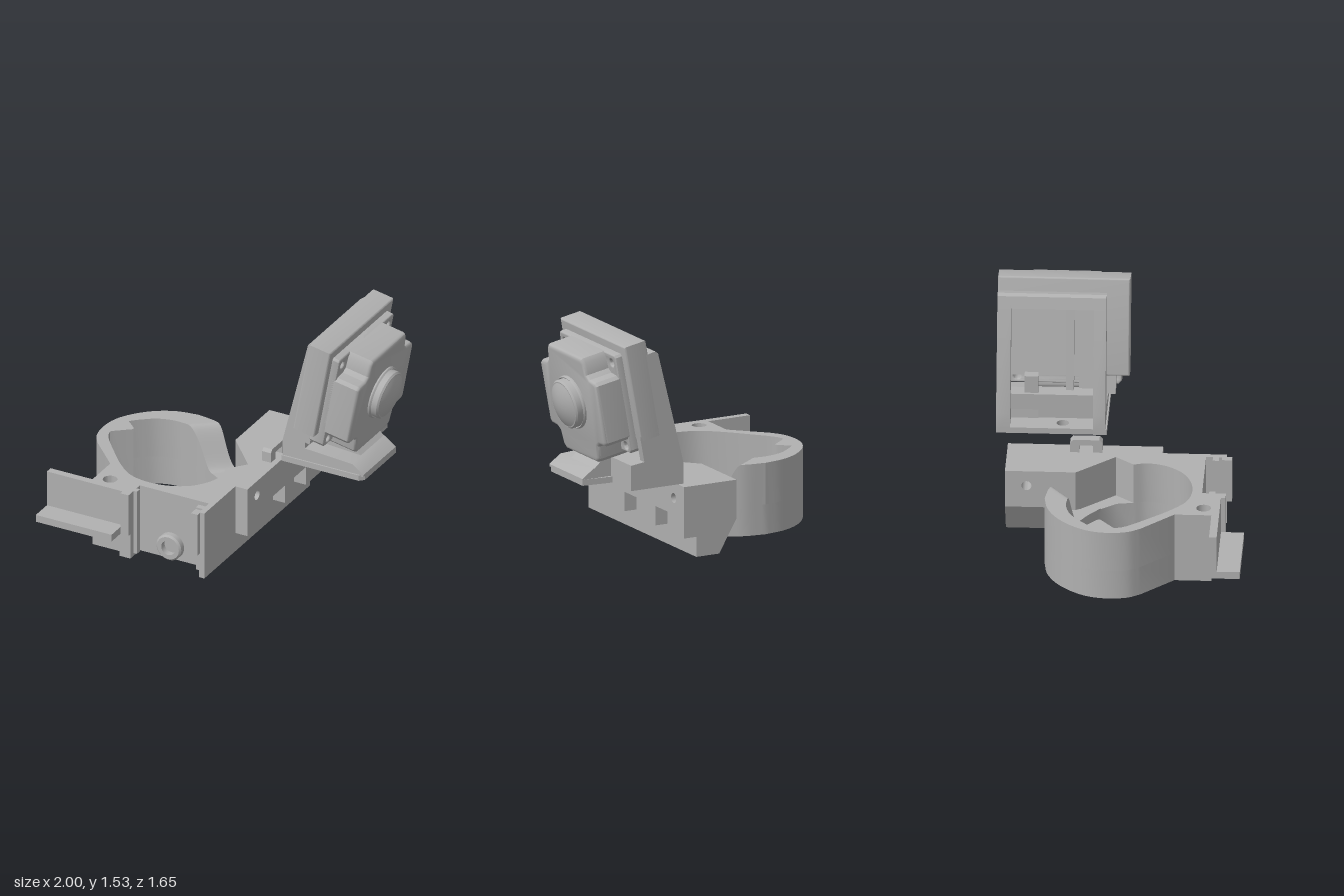
import * as THREE from 'three';
import { toCreasedNormals } from 'three/addons/utils/BufferGeometryUtils.js';

const grey = new THREE.MeshStandardMaterial({ color: 0xb0b0b0 });
grey.name = 'grey plastic';

function add(parent, name, geo) {
  const m = new THREE.Mesh(toCreasedNormals(geo, 0.6), grey);
  m.name = name;
  parent.add(m);
}

// Box given by its limits
function box(parent, name, x0, x1, y0, y1, z0, z1) {
  const g = new THREE.BoxGeometry(x1 - x0, y1 - y0, z1 - z0);
  add(parent, name, g.translate((x0 + x1) / 2, (y0 + y1) / 2, (z0 + z1) / 2));
}

// Outline of a round hole
function circle(a, b, r) {
  return Array.from({ length: 28 }, (_, i) => [a + r * Math.cos(i * Math.PI / 14), b + r * Math.sin(i * Math.PI / 14)]);
}

// Prism along an axis: 'x' takes [z,y], 'y' takes [x,z], 'z' takes [x,y]; holes are outlines too
function prism(axis, pts, from, to, holes = [], bevel = 0) {
  const map = { x: ([z, y]) => [-z, y], y: ([x, z]) => [x, -z], z: (p) => p }[axis];
  const outline = (list, clockwise) => {
    const v = list.map((p) => new THREE.Vector2(...map(p)));
    return THREE.ShapeUtils.isClockWise(v) === clockwise ? v : v.reverse();
  };
  const shape = new THREE.Shape(outline(pts, false));
  shape.holes = holes.map((h) => new THREE.Path(outline(h, true)));
  const g = new THREE.ExtrudeGeometry(shape, {
    depth: to - from - bevel * 2, bevelEnabled: bevel > 0,
    bevelSize: bevel, bevelThickness: bevel, bevelOffset: -bevel, bevelSegments: 4,
  });
  g.translate(0, 0, from + bevel);
  if (axis === 'x') g.rotateY(Math.PI / 2);
  if (axis === 'y') g.rotateX(-Math.PI / 2);
  return g;
}

// Smooth plan curve through a few guide points
const curve = (pts) => new THREE.CatmullRomCurve3(pts.map(([x, z]) => new THREE.Vector3(x, 0, z)));
const smooth = (pts, n) => curve(pts).getPoints(n).map((p) => [p.x, p.z]);

// Solid of revolution about the x axis; profile is [radius, x]
function lathe(profile, y, z) {
  const g = new THREE.LatheGeometry(profile.map((p) => new THREE.Vector2(...p)), 48);
  return g.rotateZ(-Math.PI / 2).translate(0, y, z);
}

function makeBracket() {
  const g = new THREE.Group();
  g.name = 'ringBracket';
  const low = 0.2, top = 0.48;

  // Plan curves of the ring
  const outerLeft = [[-0.69, 0.62], [-0.69, 0.38], ...smooth([[-0.9, 0.17], [-0.95, 0.09], [-0.97, -0.03],
    [-0.95, -0.16], [-0.88, -0.28], [-0.77, -0.385], [-0.64, -0.45], [-0.5, -0.473]], 28)];
  const outerGuide = [[-0.5, -0.473], [-0.36, -0.45], [-0.22, -0.385], [-0.13, -0.37]];
  const innerGuide = [[-0.5, -0.325], [-0.38, -0.3], [-0.22, -0.22], [-0.1, -0.13]];
  const outerBack = smooth(outerGuide, 16);
  const innerBack = [...smooth(innerGuide, 14), [-0.02, -0.03], [0, 0.08]];
  const innerFront = smooth([[0, 0.08], [0.02, 0.16], [0, 0.27], [-0.08, 0.385], [-0.2, 0.455], [-0.35, 0.48],
    [-0.5, 0.45], [-0.62, 0.36], [-0.75, 0.22], [-0.88, 0.06], [-0.9, 0]], 36);
  const innerLeft = [[-0.88, -0.02], [-0.78, -0.1], [-0.79, -0.12], [-0.86, -0.18],
    ...smooth([[-0.82, -0.22], [-0.72, -0.295], [-0.6, -0.33], [-0.5, -0.325]], 10)];
  const front = [[0.17, -0.37], [0.17, 0.68], [0.13, 0.68], [0.13, 0.545], [-0.38, 0.545], [-0.38, 0.62]];

  // Lower ring: closed outline with the opening cut out
  add(g, 'lowerRing', prism('y', [...outerLeft, ...outerBack.slice(1), ...front], 0, low,
    [[...innerBack.slice(0, -1), ...innerFront, ...innerLeft.slice(0, -1)]]));

  // Upper ring, open at the back where the edge dips
  const upper = [...outerLeft, ...[...innerLeft].reverse(), ...[...innerFront].reverse(),
    [0.1, -0.04], [-0.13, -0.29], [-0.13, -0.37], ...front];
  add(g, 'upperRing', prism('y', upper, low, top, [circle(-0.59, 0.565, 0.048)]));

  // Ramp down from the ring to the low edge, swept between the two back curves
  const ramp = new THREE.BoxGeometry(1, 1, 1, 28, 1, 8);
  const p = ramp.attributes.position;
  const outer = curve(outerGuide), inner = curve(innerGuide);
  for (let i = 0; i < p.count; i++) {
    const u = p.getX(i) + 0.5;
    const q = outer.getPoint(u).lerp(inner.getPoint(u), p.getZ(i) + 0.5);
    const drop = THREE.MathUtils.smoothstep(0.11 * q.x + 0.15 * q.z, -0.104, -0.072);
    p.setXYZ(i, q.x, p.getY(i) > 0 ? top - drop * (top - low - 0.005) : low - 0.02, q.z);
  }
  add(g, 'ringRamp', ramp);

  // Rear block with its lower corner cut off and a screw hole across it
  const rearHole = circle(-0.61, 0.375, 0.033);
  add(g, 'rearBlockBase', prism('z', [[0.17, 0], [0, 0], [-0.13, 0.22], [0.17, 0.22]], -0.75, -0.37));
  add(g, 'rearBlock', prism('x', [[-0.75, 0.22], [-0.37, 0.22], [-0.37, top], [-0.75, top]], -0.13, 0.17, [rearHole]));

  // Side plate with notched lower edge and two screw holes
  add(g, 'sidePlate', prism('x', [[0.26, top], [0.26, 0.135], [0.04, 0.135], [0.04, 0.265], [-0.25, 0.265],
    [-0.25, 0.135], [-0.37, 0.135], [-0.37, 0.265], [-0.53, 0.265], [-0.53, 0.135], [-0.75, 0.135], [-0.75, top]],
  0.17, 0.26, [circle(0.13, 0.375, 0.033), rearHole]));

  // Loop on top of the block
  add(g, 'cableLoop', prism('x', [[-0.13, top], [-0.13, 0.55], [-0.15, 0.57], [-0.32, 0.57], [-0.34, 0.55], [-0.34, top],
    [-0.28, top], [-0.28, 0.53], [-0.19, 0.53], [-0.19, top]], 0.155, 0.22));

  // Front flange with shelf, rails and boss
  add(g, 'frontFlange', prism('x', [[0.62, 0.18], [0.82, 0.18], [0.82, 0.23], [0.67, 0.23], [0.67, top], [0.62, top]], -1, -0.44));
  box(g, 'leftRail', -0.44, -0.38, 0.18, top, 0.58, 0.7);
  box(g, 'leftRailFoot', -0.46, -0.38, 0, 0.18, 0.58, 0.675);
  box(g, 'leftRailLip', -0.38, -0.355, 0.02, top, 0.59, 0.63);
  box(g, 'rightRail', 0.09, 0.14, 0.18, top, 0.65, 0.715);
  box(g, 'rightRailLip', 0.08, 0.13, 0.02, top, 0.59, 0.63);
  const boss = new THREE.LatheGeometry([[0.092, -0.03], [0.092, 0.038], [0.08, 0.05], [0.05, 0.05], [0.05, 0.005], [0, 0.005]]
    .map((q) => new THREE.Vector2(...q)), 36);
  add(g, 'frontBoss', boss.rotateX(Math.PI / 2).translate(-0.145, 0.1, 0.545));
  return g;
}

function makeMount() {
  const g = new THREE.Group();
  g.name = 'cameraMount';

  // Sloping side walls and the recessed back
  const wall = [[0.31, 0.53], [0.31, 0.67], [0.5, 1.43], [0.52, 1.445], [0.59, 1.43], [0.49, 0.88], [0.47, 0.53]];
  add(g, 'outerWall', prism('z', wall, -0.83, -0.74));
  add(g, 'innerWall', prism('z', wall, -0.2, -0.12));
  add(g, 'topBar', prism('z', [[0.48, 1.35], [0.5, 1.43], [0.52, 1.445], [0.59, 1.43], [0.57, 1.35]], -0.74, -0.2));
  add(g, 'backRib', prism('z', [[0.41, 0.8], [0.5, 1.36], [0.58, 1.36], [0.48, 0.8]], -0.38, -0.33));
  add(g, 'backPanel', prism('z', [[0.46, 0.88], [0.55, 1.36], [0.59, 1.36], [0.5, 0.88]], -0.74, -0.2));
  box(g, 'lowerBar', 0.38, 0.48, 0.67, 0.78, -0.74, -0.2);
  box(g, 'clip', 0.4, 0.47, 0.78, 0.9, -0.65, -0.56);

  // Foot: flat base, sloping tongue in front and a taller block along the outer side
  add(g, 'foot', prism('y', [[0.31, -0.11], [0.88, -0.11], [0.91, -0.14], [0.91, -0.56], [0.7, -0.58], [0.7, -0.83], [0.31, -0.83]],
    0.53, 0.57, [circle(0.39, -0.4, 0.04)]));
  add(g, 'footTongue', prism('z', [[0.46, 0.56], [0.91, 0.56], [0.91, 0.575], [0.83, 0.635], [0.46, 0.66]], -0.56, -0.12));
  add(g, 'footRidge', prism('z', [[0.46, 0.6], [0.86, 0.6], [0.76, 0.69], [0.46, 0.72]], -0.56, -0.25));
  add(g, 'footBlock', prism('z', [[0.45, 0.55], [0.7, 0.55], [0.7, 0.7], [0.46, 0.73]], -0.83, -0.56));

  // Everything tilted: frame, camera body and lens
  const head = new THREE.Group();
  head.name = 'cameraHead';
  head.position.set(0.47, 0.88, 0);
  head.rotation.z = THREE.MathUtils.degToRad(-10.5);
  g.add(head);
  add(head, 'frame', prism('x', [[0.03, 0], [0.03, 0.66], [-0.83, 0.66], [-0.83, 0]], 0, 0.16, [], 0.012));
  box(head, 'frameSide', 0, 0.16, -0.2, 0.03, -0.83, -0.775);
  box(head, 'frameClip', 0.03, 0.1, -0.13, 0.01, -0.3, -0.06);

  const zc = -0.395, yc = 0.25;
  const mirror = (half) => [...half.map(([z, y]) => [zc + z, y]), ...half.map(([z, y]) => [zc - z, y]).reverse()];
  // Housing base with corner screw holes
  add(head, 'housingBase', prism('x', mirror([[0.36, 0.6], [0.372, 0.585], [0.372, -0.06], [0.35, -0.085]]), 0.1, 0.21,
    [0.31, -0.31].flatMap((z) => [circle(zc + z, 0.54, 0.025), circle(zc + z, -0.04, 0.025)]), 0.01));
  // Raised housing with notched corners
  add(head, 'housingFront', prism('x', mirror([[0.22, 0.6], [0.24, 0.57], [0.25, 0.49], [0.28, 0.465], [0.35, 0.46],
    [0.372, 0.44], [0.372, 0.04], [0.35, 0.015], [0.28, 0.01], [0.25, -0.01], [0.235, -0.1], [0.2, -0.13]]),
  0.14, 0.385, [], 0.025));
  // Lens barrel and dome
  add(head, 'lensBarrel', lathe([[0.18, 0.36], [0.18, 0.395], [0.172, 0.405], [0.165, 0.4], [0.165, 0.44], [0.155, 0.452], [0, 0.452]], yc, zc));
  const dome = [];
  for (let i = 0; i <= 10; i++) dome.push([0.152 * (1 - i / 10), 0.45 + 0.04 * (1 - (1 - i / 10) ** 2)]);
  add(head, 'lens', lathe(dome, yc, zc));
  return g;
}

export function createModel() {
  const model = new THREE.Group();
  model.name = 'cameraBracket';
  model.add(makeBracket(), makeMount());
  return model;
}
